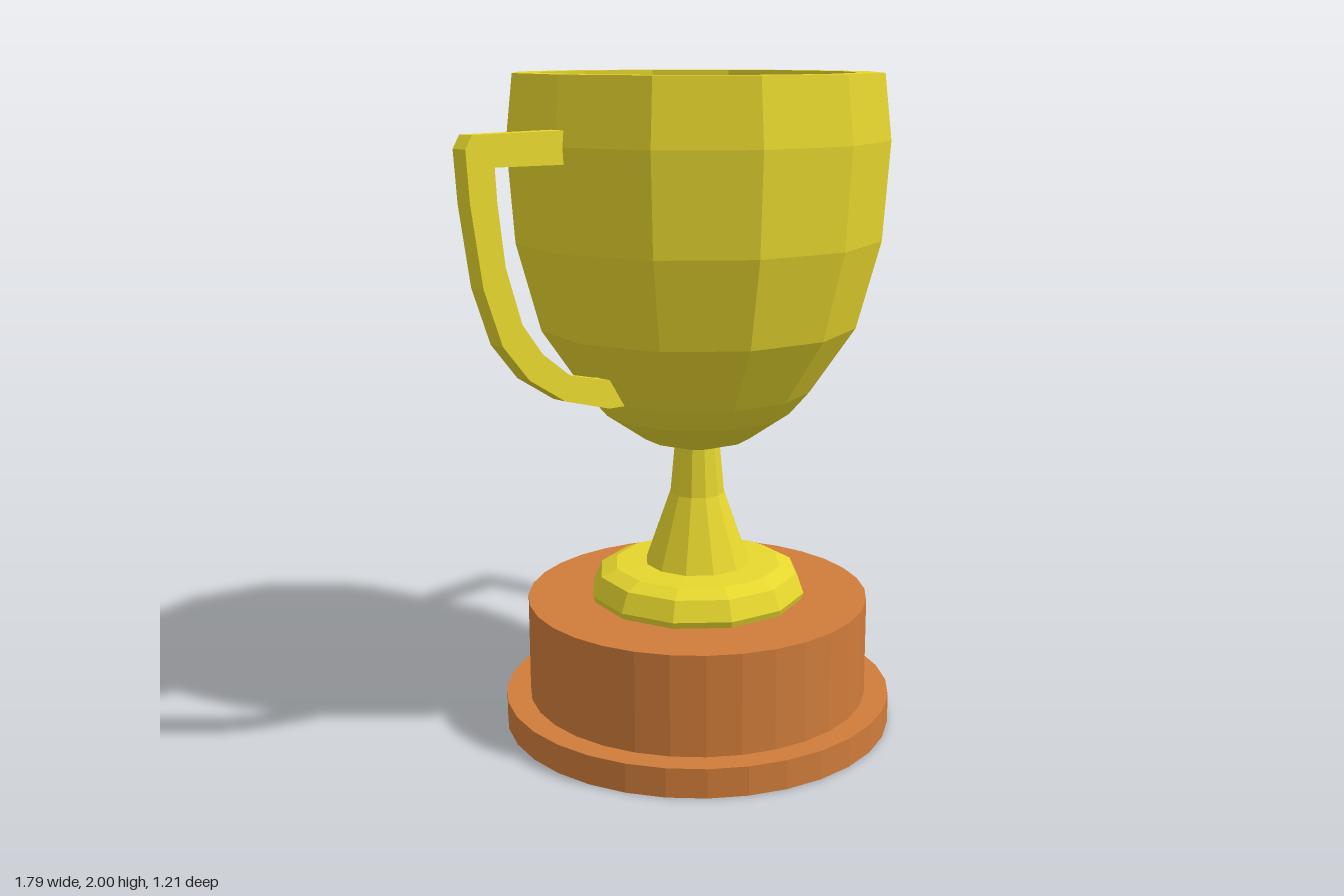
import * as THREE from 'three';

const gold = new THREE.MeshStandardMaterial({ color: 0xe6d62e, flatShading: true });
const wood = new THREE.MeshStandardMaterial({ color: 0xd07c3a, flatShading: true });

const toPoints = (list) => list.map(([x, y]) => new THREE.Vector2(x, y));

function addMesh(group, name, geometry, material) {
  const mesh = new THREE.Mesh(geometry, material);
  mesh.name = name;
  group.add(mesh);
  return mesh;
}

// Faceted turned part; the profile runs up the outside
function addTurned(group, name, profile, sides, material) {
  return addMesh(group, name, new THREE.LatheGeometry(toPoints(profile), sides), material);
}

export function createModel() {
  const trophy = new THREE.Group();
  trophy.name = 'trophy';

  // Stepped round plinth
  addTurned(trophy, 'plinth', [
    [0, 0], [0.605, 0], [0.605, 0.09], [0.53, 0.09], [0.53, 0.4], [0, 0.4],
  ], 32, wood);

  // Rounded foot and flared stem
  addTurned(trophy, 'footAndStem', [
    [0.33, 0.4], [0.337, 0.42], [0.31, 0.48], [0.26, 0.502], [0.163, 0.507],
    [0.085, 0.73], [0.07, 0.89],
  ], 12, gold);

  // Cup: up the outside, over the rim and down the inside
  addTurned(trophy, 'cup', [
    [0, 0.88], [0.075, 0.88], [0.165, 0.907], [0.285, 0.99], [0.345, 1.06],
    [0.48, 1.26], [0.55, 1.52], [0.57, 1.81], [0.548, 2],
    [0.472, 2], [0.485, 1.81], [0.47, 1.53], [0.37, 1.26], [0.25, 1.08],
    [0.14, 0.98], [0.06, 0.94], [0, 0.94],
  ], 12, gold);

  // Flat handles, ends sunk into the cup wall
  const outline = new THREE.Shape(toPoints([
    [0.52, 1.855], [0.52, 1.763], [0.8, 1.77], [0.795, 1.68], [0.773, 1.51],
    [0.72, 1.35], [0.65, 1.26], [0.55, 1.185], [0.41, 1.15], [0.34, 1.14],
    [0.3, 1.06], [0.4, 1.065], [0.57, 1.115], [0.7, 1.195], [0.79, 1.3],
    [0.85, 1.46], [0.885, 1.68], [0.895, 1.82], [0.872, 1.855],
  ]));
  const handle = new THREE.ExtrudeGeometry(outline, { depth: 0.05, bevelEnabled: false });
  handle.translate(0, 0, -0.025);
  addMesh(trophy, 'leftHandle', handle, gold);
  addMesh(trophy, 'rightHandle', handle, gold).rotation.y = Math.PI;

  return trophy;
}
